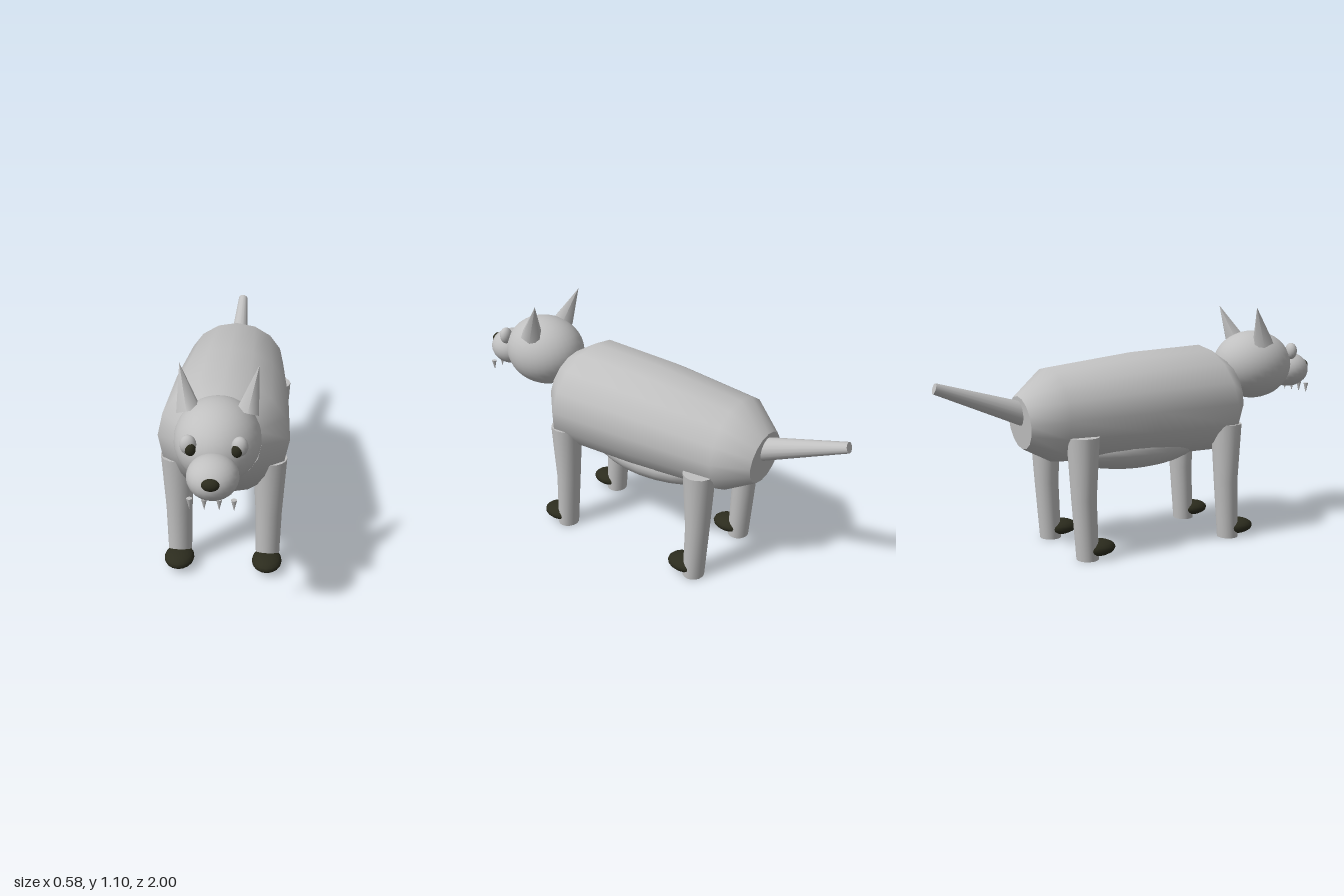
import * as THREE from 'three';

const mat = (name, color) => {
  const m = new THREE.MeshStandardMaterial({ color });
  m.name = name;
  return m;
};

// Lofts capped tubes; each ring is [cx, cy, cz, radiusX, secondAxisY, secondAxisZ]
function loft(rings, n) {
  const pos = [], index = [];
  const addRing = ([x, y, z, rx, vy, vz]) => {
    const start = pos.length / 3;
    for (let j = 0; j < n; j++) {
      const a = (j / n) * Math.PI * 2;
      pos.push(x + Math.cos(a) * rx, y + Math.sin(a) * vy, z + Math.sin(a) * vz);
    }
    return start;
  };
  const starts = rings.map(addRing);
  for (let i = 0; i < rings.length - 1; i++) {
    for (let j = 0; j < n; j++) {
      const k = (j + 1) % n;
      const a = starts[i] + j, b = starts[i] + k;
      const c = starts[i + 1] + j, d = starts[i + 1] + k;
      index.push(a, c, b, b, c, d);
    }
  }
  // Flat end caps with their own vertices
  [rings[0], rings[rings.length - 1]].forEach((ring, end) => {
    const s = addRing(ring);
    for (let j = 1; j < n - 1; j++) {
      if (end === 0) index.push(s, s + j, s + j + 1);
      else index.push(s, s + j + 1, s + j);
    }
  });
  const g = new THREE.BufferGeometry();
  g.setAttribute('position', new THREE.Float32BufferAttribute(pos, 3));
  g.setIndex(index);
  g.computeVertexNormals();
  return g;
}

export function createModel() {
  const group = new THREE.Group();
  group.name = 'wolf';
  const fur = mat('greyFur', 0xc0c0c0);
  const dark = mat('darkOlive', 0x2c2c1e);

  const add = (name, geometry, material) => {
    const m = new THREE.Mesh(geometry, material);
    m.name = name;
    group.add(m);
    return m;
  };
  const ball = (name, material, [x, y, z], [rx, ry, rz], w = 24, h = 16) => {
    const m = add(name, new THREE.SphereGeometry(1, w, h), material);
    m.position.set(x, y, z);
    m.scale.set(rx, ry, rz);
    return m;
  };
  // Cone running from a base point to a tip
  const spike = (name, base, tip, radius, sides) => {
    const from = new THREE.Vector3(...base), to = new THREE.Vector3(...tip);
    const dir = to.clone().sub(from);
    const m = add(name, new THREE.ConeGeometry(radius, dir.length(), sides), fur);
    m.position.copy(from).add(to).multiplyScalar(0.5);
    m.quaternion.setFromUnitVectors(new THREE.Vector3(0, 1, 0), dir.normalize());
    return m;
  };

  // Body, chest to rump
  add('body', loft([
    [0, 0.69, 0.48, 0.17, 0.16, -0.03],
    [0, 0.66, 0.37, 0.29, 0.26, -0.04],
    [0, 0.65, -0.05, 0.275, 0.25, 0],
    [0, 0.635, -0.47, 0.24, 0.215, -0.005],
    [0, 0.61, -0.61, 0.13, 0.12, -0.01],
  ], 16), fur);
  ball('belly', fur, [0, 0.465, -0.05], [0.2, 0.112, 0.36]);

  // Tail
  add('tail', loft([
    [0, 0.64, -0.57, 0.053, 0.052, 0.018],
    [0, 0.786, -0.993, 0.024, 0.023, 0.007],
  ], 16), fur);

  // Head
  ball('head', fur, [0, 0.81, 0.652], [0.177, 0.169, 0.203], 32, 20);
  ball('muzzle', fur, [0, 0.773, 0.88], [0.103, 0.087, 0.107]);
  ball('nose', dark, [0, 0.795, 0.978], [0.035, 0.025, 0.022]);

  for (const s of [1, -1]) {
    const side = s > 0 ? 'left' : 'right';
    ball(side + 'Eye', fur, [s * 0.1, 0.876, 0.821], [0.033, 0.041, 0.028], 16, 12);
    ball(side + 'Pupil', dark, [s * 0.09, 0.865, 0.838], [0.022, 0.028, 0.018], 16, 12);
    spike(side + 'Ear', [s * 0.118, 0.925, 0.632], [s * 0.16, 1.1, 0.56], 0.054, 6);
    for (const x of [0.029, 0.086])
      spike(side + 'Tooth', [s * x, 0.706, 0.935], [s * x, 0.656, 0.935], 0.012, 8);

    // Legs and paws
    for (const [end, dz] of [['Front', 0], ['Hind', -0.757]]) {
      add(side + end + 'Leg', loft([
        [s * 0.205, 0.56, 0.358 + dz, 0.076, 0, -0.073],
        [s * 0.204, 0.28, 0.36 + dz, 0.06, 0, -0.056],
        [s * 0.203, 0.003, 0.376 + dz, 0.053, 0, -0.05],
      ], 16), fur);
      ball(side + end + 'Paw', dark, [s * 0.202, 0.05, 0.425 + dz], [0.069, 0.037, 0.085], 16, 10);
    }
  }
  return group;
}
